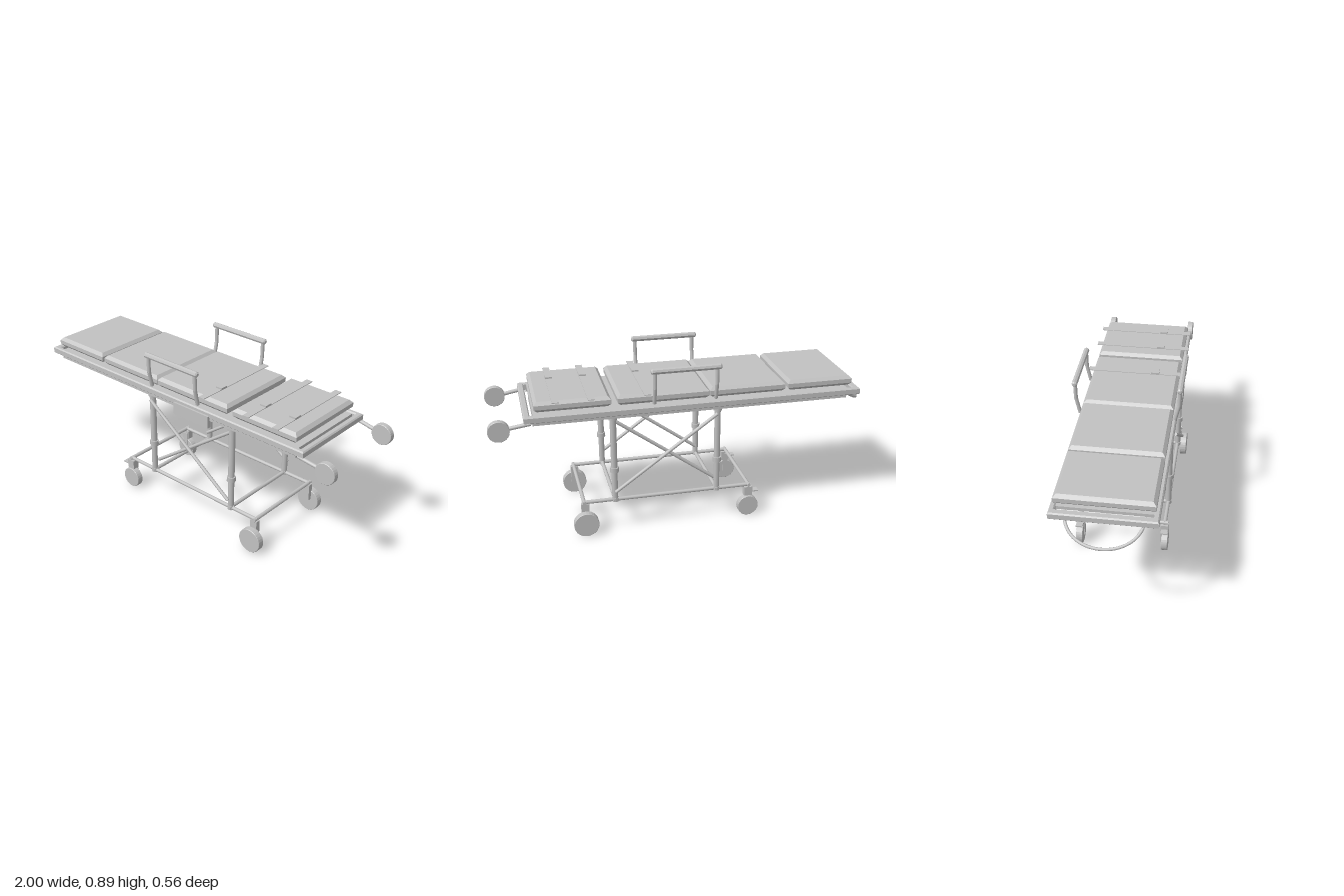
import * as THREE from 'three';

const steel = new THREE.MeshStandardMaterial({ color: 0xc2c2c2 });
steel.name = 'grey';

export function createModel() {
  const model = new THREE.Group();
  model.name = 'stretcher';
  const V = (x, y, z) => new THREE.Vector3(x, y, z);

  const add = (name, geo, x = 0, y = 0, z = 0) => {
    const m = new THREE.Mesh(geo, steel);
    m.name = name;
    m.position.set(x, y, z);
    model.add(m);
    return m;
  };
  const box = (name, w, h, d, x, y, z) => add(name, new THREE.BoxGeometry(w, h, d), x, y, z);
  // straight round bar between two points
  const bar = (name, a, b, r, sides = 10) => {
    const dir = b.clone().sub(a);
    const m = add(name, new THREE.CylinderGeometry(r, r, dir.length(), sides));
    m.position.copy(a).add(b).multiplyScalar(0.5);
    m.quaternion.setFromUnitVectors(V(0, 1, 0), dir.normalize());
    return m;
  };
  const rect = (Type, x0, x1, hz) => {
    const s = new Type();
    s.moveTo(x0, -hz);
    s.lineTo(x1, -hz);
    s.lineTo(x1, hz);
    s.lineTo(x0, hz);
    s.closePath();
    return s;
  };
  // horizontal slab with chamfered edges, bottom at y0 and top at y1
  const slab = (name, shape, y0, y1, bevel) => {
    const geo = new THREE.ExtrudeGeometry(shape, {
      depth: y1 - y0 - 2 * bevel, bevelThickness: bevel, bevelSize: bevel,
      bevelOffset: -bevel, bevelSegments: 1,
    });
    geo.rotateX(-Math.PI / 2);
    return add(name, geo, 0, y0 + bevel, 0);
  };
  // turned solid from a profile of [radius, height], with sharp rings
  const turned = (name, pts, sides, x, y, z) => {
    const geo = new THREE.LatheGeometry(pts.map(p => new THREE.Vector2(...p)), sides).toNonIndexed();
    geo.computeVertexNormals();
    return add(name, geo, x, y, z);
  };
  // plain disc wheel with slightly eased edges, axle along z
  const wheel = (name, r, t, x, y, z) => {
    const h = t / 2, e = 0.002;
    turned(name, [[0, -h], [r - e, -h], [r, -h + e], [r, h - e], [r - e, h], [0, h]], 28, x, y, z)
      .rotation.x = Math.PI / 2;
  };

  // bed frame, deck and tray
  const frame = rect(THREE.Shape, -0.925, 0.822, 0.248);
  frame.holes.push(rect(THREE.Path, -0.888, 0.79, 0.222));
  slab('bedFrame', frame, 0.648, 0.685, 0.006);
  box('deck', 1.64, 0.016, 0.45, -0.045, 0.671, 0);
  slab('underTray', rect(THREE.Shape, 0.52, 0.773, 0.156), 0.617, 0.668, 0.005);

  // mattress sections
  for (const [x0, x1] of [[-0.88, -0.53], [-0.515, -0.115], [-0.112, 0.358], [0.39, 0.77]])
    slab('mattressSection', rect(THREE.Shape, x0, x1, 0.232), 0.697, 0.751, 0.016);

  // straps and buckles
  for (const x of [0.21, 0.49, 0.665]) {
    box('strap', 0.035, 0.004, 0.51, x, 0.752, 0);
    box('buckle', 0.037, 0.012, 0.042, x, 0.756, 0.103);
  }

  // drooping loop handle at the foot end
  const loop = [];
  for (let i = 0; i <= 16; i++) {
    const a = Math.PI * i / 16;
    const out = Math.sin(a) ** 0.9;
    loop.push(V(-0.855 - 0.138 * out, 0.652 - 0.088 * out, 0.182 * Math.cos(a)));
  }
  add('loopHandle', new THREE.TubeGeometry(new THREE.CatmullRomCurve3(loop), 40, 0.0075, 8));

  // control box on the front side only
  box('controlBox', 0.232, 0.065, 0.022, 0.14, 0.633, 0.247);

  for (const s of [1, -1]) {
    // rail under the frame
    box('underRail', 1.63, 0.016, 0.022, -0.035, 0.646, s * 0.234);

    // side guard with bent posts and a chamfered grip
    for (const x of [-0.141, 0.176]) {
      const bends = [V(x, 0.7, s * 0.243), V(x, 0.785, s * 0.262), V(x, 0.865, s * 0.264)];
      bar('guardPostLower', bends[0], bends[1], 0.01, 8);
      bar('guardPostUpper', bends[1], bends[2], 0.01, 8);
      add('guardPostBend', new THREE.SphereGeometry(0.01, 8, 6), x, 0.785, s * 0.262);
    }
    turned('guardGrip', [[0, -0.18], [0.008, -0.18], [0.015, -0.173], [0.015, 0.173], [0.008, 0.18], [0, 0.18]],
      8, 0.016, 0.875, s * 0.264).rotation.z = Math.PI / 2;

    // loading wheel arms at the head end
    bar('loadingArm', V(0.79, 0.65, s * 0.24), V(0.93, 0.627, s * 0.233), 0.01);
    wheel('loadingWheel', 0.054, 0.03, 0.945, 0.624, s * 0.236);

    // telescopic legs
    for (const x of [-0.157, 0.385]) {
      bar('upperLeg', V(x, 0.34, s * 0.224), V(x, 0.66, s * 0.224), 0.0165, 8);
      bar('lowerLeg', V(x, 0.175, s * 0.224), V(x, 0.345, s * 0.224), 0.0155, 8);
      add('legCollar', new THREE.CylinderGeometry(0.023, 0.023, 0.026, 8), x, 0.348, s * 0.224);
      add('legHead', new THREE.CylinderGeometry(0.022, 0.022, 0.024, 8), x, 0.637, s * 0.224);
      add('legFoot', new THREE.CylinderGeometry(0.018, 0.018, 0.02, 8), x, 0.177, s * 0.224);
    }

    // crossed braces, one outside and one inside the legs
    bar('outerBrace', V(-0.15, 0.615, s * 0.249), V(0.385, 0.23, s * 0.249), 0.009);
    bar('innerBrace', V(0.385, 0.615, s * 0.198), V(-0.15, 0.23, s * 0.198), 0.009);

    // base rails
    bar('baseRail', V(-0.34, 0.177, s * 0.224), V(0.555, 0.177, s * 0.224), 0.01);

    // head-end casters with a one-sided fork
    box('headFork', 0.04, 0.095, 0.026, 0.543, 0.123, s * 0.224);
    wheel('headWheel', 0.065, 0.036, 0.543, 0.065, s * 0.25);

    // foot-end casters with a side plate and brake pedal
    box('footForkTop', 0.044, 0.05, 0.036, -0.332, 0.143, s * 0.224);
    box('footForkPlate', 0.03, 0.105, 0.004, -0.332, 0.103, s * 0.204);
    wheel('footWheel', 0.056, 0.034, -0.332, 0.056, s * 0.226);
    box('brakePedal', 0.045, 0.007, 0.036, -0.365, 0.141, s * 0.224);
  }

  // cross members
  for (const x of [-0.335, -0.157, 0.385, 0.548])
    bar('baseCrossbar', V(x, 0.177, -0.24), V(x, 0.177, 0.24), 0.01);
  for (const x of [-0.157, 0.385])
    bar('upperCrossbar', V(x, 0.648, -0.224), V(x, 0.648, 0.224), 0.01);

  return model;
}
